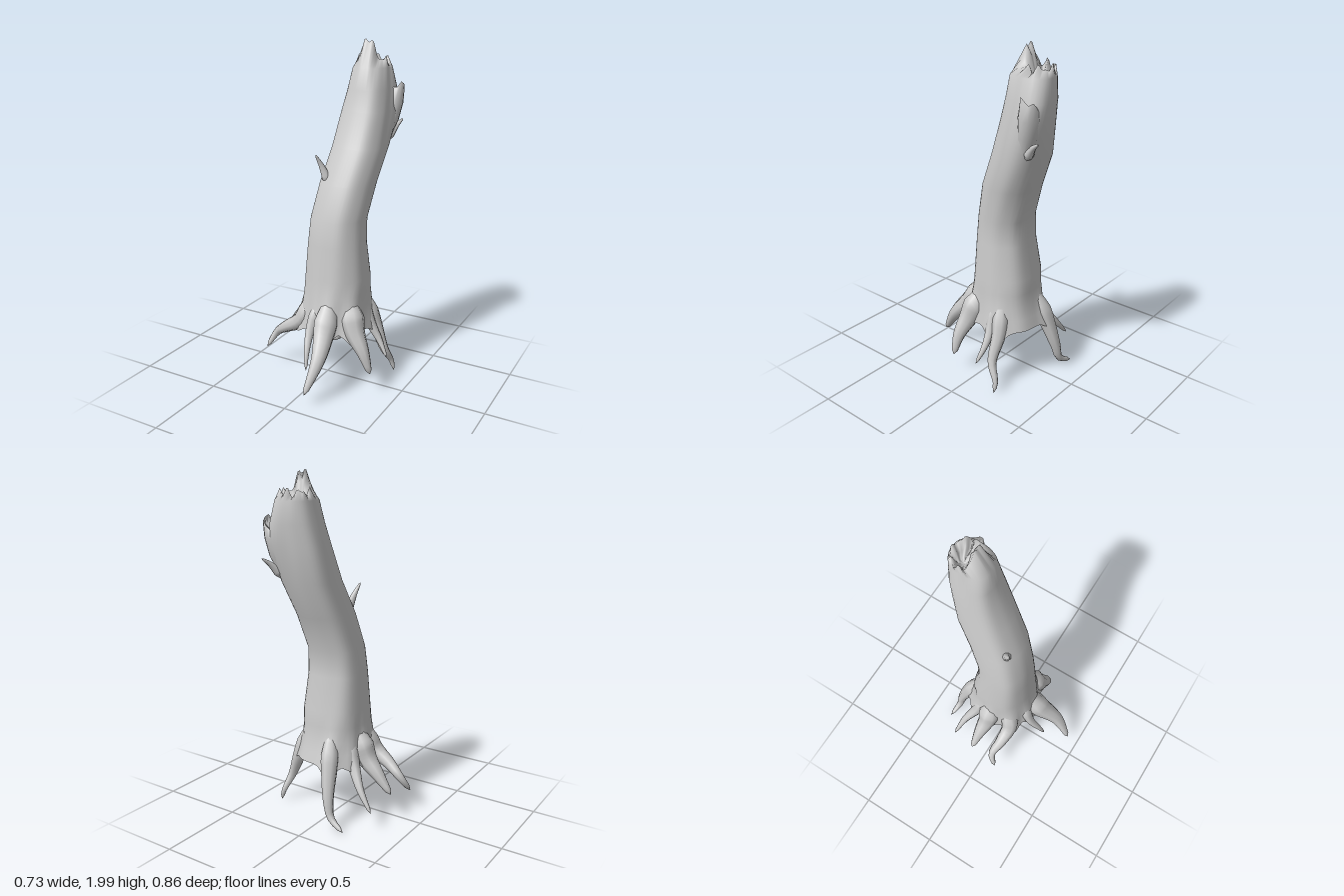
import * as THREE from 'three';

const mat = new THREE.MeshStandardMaterial({ color: 0xcccccc, side: THREE.DoubleSide });
const FOOT = new THREE.Vector3(0.045, 0.5, -0.06);

// Skin a list of equal-length closed rings of points
function loft(name, rings) {
  const n = rings[0].length;
  const idx = [];
  for (let j = 0; j < rings.length - 1; j++) {
    for (let i = 0; i < n; i++) {
      const a = j * n + i, b = j * n + (i + 1) % n;
      idx.push(a, a + n, b, b, a + n, b + n);
    }
  }
  const g = new THREE.BufferGeometry().setFromPoints(rings.flat());
  g.setIndex(idx);
  g.computeVertexNormals();
  const mesh = new THREE.Mesh(g, mat);
  mesh.name = name;
  return mesh;
}

// Horizontal ring; height(angle) and scale(angle) shape it
function flatRing(n, cx, cz, rx, rz, height, scale = () => 1) {
  return Array.from({ length: n }, (_, i) => {
    const a = i / n * Math.PI * 2, s = scale(a);
    return new THREE.Vector3(cx + Math.cos(a) * rx * s, height(a), cz + Math.sin(a) * rz * s);
  });
}

// Limb along a smooth path: swells from its hidden start, then tapers to a point
function limb(name, radius, points) {
  const n = 8, steps = 16;
  const curve = new THREE.CatmullRomCurve3(points);
  const { normals, binormals } = curve.computeFrenetFrames(steps);
  const rings = normals.map((normal, j) => {
    const t = j / steps, c = curve.getPointAt(t);
    const r = j === steps ? 0 : radius * (1 - 0.85 * t) * Math.min(1, 0.5 + 2.5 * t);
    return Array.from({ length: n }, (_, i) => {
      const a = i / n * Math.PI * 2;
      return c.clone().addScaledVector(normal, Math.cos(a) * r).addScaledVector(binormals[j], Math.sin(a) * r);
    });
  });
  return loft(name, rings);
}

const path = pts => pts.map(p => new THREE.Vector3(...p));
const bump = (d, width) => Math.exp(-((d / width) ** 2));

// Radius, then the path from the trunk's foot to the tip
const ROOTS = [
  ['frontRoot', 0.088, path([[0.085, 0.38, 0.19], [0.11, 0.25, 0.31], [0.085, 0.075, 0.43]])],
  ['leftFrontRoot', 0.09, path([[0.23, 0.36, 0.09], [0.3, 0.25, 0.115], [0.347, 0.13, 0.12]])],
  ['leftMiddleRoot', 0.048, path([[0.25, 0.34, -0.09], [0.305, 0.25, -0.09], [0.364, 0.155, -0.07]])],
  ['leftBackRoot', 0.06, path([[0.245, 0.33, -0.15], [0.31, 0.17, -0.15], [0.34, 0.07, -0.2], [0.358, 0.005, -0.2]])],
  ['backRoot', 0.066, path([[-0.05, 0.34, -0.27], [-0.08, 0.16, -0.325], [-0.105, 0.07, -0.335], [-0.2, 0.015, -0.355]])],
  ['rightBackRoot', 0.052, path([[-0.14, 0.35, -0.155], [-0.22, 0.23, -0.21], [-0.312, 0.115, -0.24]])],
  ['rightMiddleRoot', 0.088, path([[-0.17, 0.36, -0.06], [-0.25, 0.28, -0.07], [-0.345, 0.175, -0.075]])],
  ['rightFrontRoot', 0.07, path([[-0.13, 0.36, 0.09], [-0.24, 0.285, 0.085], [-0.32, 0.225, 0.07], [-0.368, 0.13, 0.118]])],
  ['smallFrontRoot', 0.044, path([[-0.02, 0.34, 0.18], [-0.005, 0.23, 0.245], [0.01, 0.14, 0.28]])],
];

function makeTrunk() {
  const sides = 48;
  // Strong in the direction of a thick root, 0 between roots
  const lobe = a => Math.max(...ROOTS.map(([, radius, [p]]) => {
    const d = a - Math.atan2(p.z - FOOT.z, p.x - FOOT.x);
    return radius / 0.085 * bump(Math.atan2(Math.sin(d), Math.cos(d)), 0.22);
  }));
  // y, centre x, centre z, half width, half depth
  const sections = [
    [0.345, 0.047, -0.057, 0.2, 0.222],
    [0.41, 0.047, -0.053, 0.192, 0.208],
    [0.48, 0.047, -0.047, 0.186, 0.196],
    [0.56, 0.047, -0.047, 0.185, 0.188],
    [0.65, 0.047, -0.05, 0.185, 0.183],
    [0.85, 0.047, -0.04, 0.167, 0.158],
    [1.0, 0.051, -0.05, 0.159, 0.15],
    [1.2, 0.078, -0.112, 0.157, 0.158],
    [1.4, 0.105, -0.2, 0.153, 0.155],
    [1.6, 0.119, -0.25, 0.139, 0.135],
    [1.72, 0.126, -0.277, 0.122, 0.13],
    [1.84, 0.13, -0.29, 0.102, 0.12],
  ];
  const rings = sections.map(([y, cx, cz, rx, rz], j) => flatRing(sides, cx, cz, rx, rz,
    // the lower edge arches up between roots
    a => y - (j === 0 ? 0.06 * lobe(a) : 0),
    // slightly squared outline, bark ridges, flared foot and a swelling below the stub
    a => 1 + Math.sin(2 * a) ** 2 * (0.06 + 0.03 * Math.sin(5 * a + y * 1.5))
      + 0.26 * (Math.max(0, 0.68 - y) / 0.335) ** 2 * lobe(a)
      + 0.36 * bump(y - 1.62, 0.17) * bump(a - 5.5, 0.5)));

  // Splintered rim, tallest at the front, around a hollow
  const rimY = a => 1.885 + 0.016 * Math.sin(7 * a) + 0.012 * Math.sin(11 * a + 1)
    + 0.122 * bump(a - Math.PI / 2, 0.55);
  rings.push(flatRing(sides, 0.12, -0.32, 0.085, 0.073, rimY));
  rings.push(flatRing(sides, 0.118, -0.32, 0.06, 0.048, a => rimY(a) - 0.05));
  rings.push(flatRing(sides, 0.11, -0.325, 0.03, 0.025, () => 1.8));
  rings.push(flatRing(sides, 0.11, -0.325, 0, 0, () => 1.79));
  return loft('trunk', rings);
}

// Broken branch stub fused to the upper back of the trunk
function makeStub() {
  const sides = 12;
  const rim = a => 1.72 + 0.03 * Math.cos(a - 0.4) + 0.015 * Math.sin(4 * a);
  const rings = [
    flatRing(sides, 0.2, -0.29, 0.03, 0.03, () => 1.4),
    flatRing(sides, 0.225, -0.33, 0.055, 0.055, () => 1.54),
    flatRing(sides, 0.24, -0.345, 0.06, 0.058, () => 1.64),
    flatRing(sides, 0.252, -0.357, 0.048, 0.048, rim),
    flatRing(sides, 0.25, -0.356, 0.03, 0.03, a => rim(a) - 0.03),
    flatRing(sides, 0.245, -0.35, 0, 0, () => 1.66),
  ];
  return loft('branchStub', rings);
}

export function createModel() {
  const group = new THREE.Group();
  group.name = 'brokenTree';
  group.add(makeTrunk(), makeStub());

  // Each root starts inside the trunk wall
  const roots = new THREE.Group();
  roots.name = 'roots';
  for (const [name, radius, points] of ROOTS) {
    const start = points[0].clone().lerp(FOOT, 0.3).setY(0.5);
    roots.add(limb(name, radius, [start, ...points]));
  }
  group.add(roots);

  // Small pointed twigs
  group.add(limb('frontTwig', 0.032, path([[0, 1.2, -0.01], [-0.035, 1.3, 0.01], [-0.058, 1.37, 0.042]])));
  group.add(limb('backTwig', 0.032, path([[0.22, 1.43, -0.32], [0.25, 1.5, -0.38], [0.27, 1.535, -0.428]])));
  return group;
}
